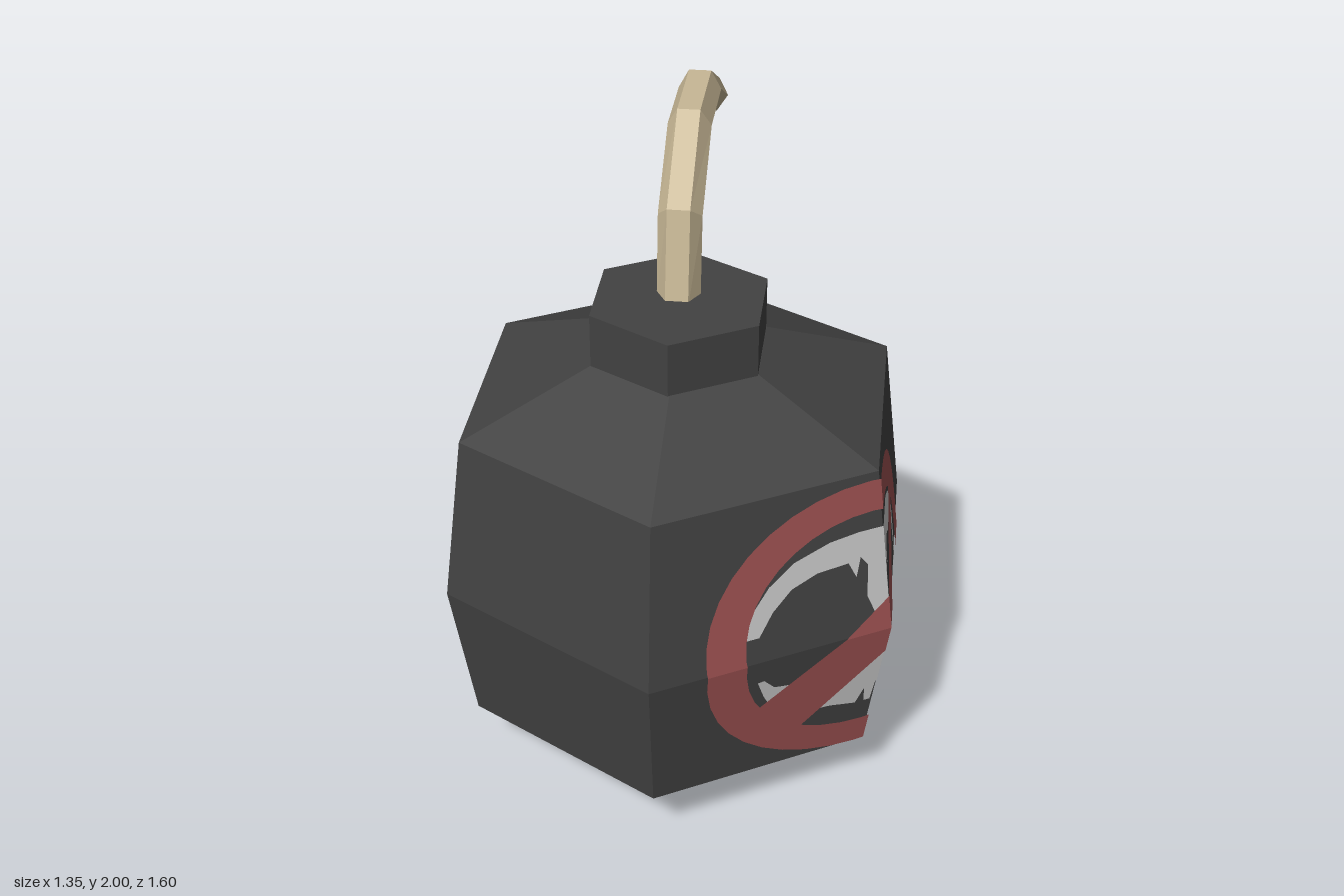
import * as THREE from 'three';

const mat = (name, color) => Object.assign(new THREE.MeshStandardMaterial({ color }), { name });
const CENTRE_Z = 0.03, MID_Y = 0.67, MID_R = 0.772, RIM_R = 0.7;

// Faceted normals on any geometry
function facet(geo) {
  const g = geo.index ? geo.toNonIndexed() : geo;
  g.computeVertexNormals();
  return g;
}

function add(parent, name, geo, material) {
  const m = new THREE.Mesh(facet(geo), material);
  m.name = name;
  parent.add(m);
  return m;
}

function fromTriangles(points) {
  const g = new THREE.BufferGeometry();
  g.setAttribute('position', new THREE.Float32BufferAttribute(points.flat(), 3));
  return g;
}

// Keep the part of a convex polygon where sign * (p[axis] - at) >= 0
function clip(poly, axis, at, sign) {
  const out = [];
  poly.forEach((a, i) => {
    const b = poly[(i + 1) % poly.length];
    const da = sign * (a[axis] - at), db = sign * (b[axis] - at);
    if (da >= 0) out.push(a);
    if (da * db < 0) {
      const t = da / (da - db);
      out.push([a[0] + (b[0] - a[0]) * t, a[1] + (b[1] - a[1]) * t]);
    }
  });
  return out;
}

// Fold a flat shape (u along the wall, v = height) around a vertical body corner
function wrap(shape, lift) {
  const flat = new THREE.ShapeGeometry(shape, 20).toNonIndexed();
  const p = flat.attributes.position;
  const s = Math.sqrt(3) / 2;
  const tris = [];
  const place = ([u, v], side) => {
    const t = Math.abs(v - MID_Y) / (v > MID_Y ? 1.2 - MID_Y : MID_Y - 0.2);
    const r = MID_R + (RIM_R - MID_R) * t + lift;
    return side > 0 ? [r * s, v, r / 2 - u] : [r * s + u * s, v, r / 2 - u / 2];
  };
  for (let i = 0; i < p.count; i += 3) {
    const tri = [0, 1, 2].map(k => [p.getX(i + k), p.getY(i + k)]);
    for (const su of [-1, 1]) for (const sv of [-1, 1]) {
      const poly = clip(clip(tri, 0, 0, su), 1, MID_Y, sv);
      for (let k = 1; k < poly.length - 1; k++) {
        tris.push(...[poly[0], poly[k], poly[k + 1]].map(q => place(q, su)));
      }
    }
  }
  return fromTriangles(tris);
}

const outline = pts => new THREE.Shape(pts.map(([x, y]) => new THREE.Vector2(x, y)));

// Prohibition ring and slash over a skull
function makeEmblem(red, white) {
  const g = new THREE.Group();
  const ring = new THREE.Shape().absellipse(-0.03, 0.69, 0.565, 0.488, 0, Math.PI * 2);
  ring.holes.push(new THREE.Path().absellipse(-0.03, 0.69, 0.44, 0.39, 0, Math.PI * 2));
  add(g, 'warningRing', wrap(ring, 0.006), red);
  add(g, 'warningSlash', wrap(outline([
    [-0.46, 0.435], [-0.29, 0.30], [0.40, 0.96], [0.33, 1.03]]), 0.006), red);
  add(g, 'skullBrow', wrap(outline([
    [-0.46, 0.757], [-0.44, 0.836], [-0.374, 0.915], [-0.29, 0.974], [-0.173, 1.01], [-0.08, 1.02],
    [0.15, 1.02], [0.23, 0.985], [0.32, 0.93], [0.17, 0.89], [0.115, 0.925], [0.06, 0.915],
    [0.05, 0.86], [0.03, 0.89], [0.01, 0.85], [0.02, 0.76], [-0.04, 0.72], [-0.068, 0.80],
    [-0.058, 0.905], [-0.08, 0.936], [-0.098, 0.873], [-0.12, 0.926], [-0.22, 0.92],
    [-0.305, 0.889], [-0.37, 0.83], [-0.42, 0.757]]), 0.003), white);
  add(g, 'skullCheekAndTeeth', wrap(outline([
    [0.30, 0.95], [0.345, 0.90], [0.366, 0.836], [0.38, 0.73], [0.357, 0.624], [0.278, 0.534],
    [0.183, 0.50], [0.11, 0.49], [0.15, 0.39], [0.107, 0.375], [0.06, 0.46], [0.05, 0.38],
    [0.02, 0.37], [0.015, 0.45], [-0.005, 0.45], [-0.01, 0.375], [-0.03, 0.375], [-0.04, 0.43],
    [-0.06, 0.375], [-0.15, 0.395], [-0.235, 0.40], [-0.15, 0.50], [0, 0.65], [0.03, 0.62],
    [0.07, 0.58], [0.14, 0.575], [0.19, 0.56], [0.26, 0.58], [0.327, 0.65], [0.343, 0.73],
    [0.323, 0.836], [0.262, 0.90]]), 0.003), white);
  add(g, 'skullJawCorner', wrap(outline([
    [-0.42, 0.587], [-0.39, 0.52], [-0.36, 0.47], [-0.30, 0.54], [-0.36, 0.55], [-0.40, 0.59]]), 0.003), white);
  return g;
}

// Six-sided cord; each station gives the outer and inner edge as [z, y]
function makeFuse() {
  const x0 = -0.01;
  const stations = [
    [[0.065, 1.51], [-0.045, 1.51]],
    [[0.012, 1.80], [-0.07, 1.73]],
    [[-0.24, 2.0], [-0.285, 1.887]],
    [[-0.535, 2.0], [-0.53, 1.887]],
    [[-0.80, 1.865], [-0.705, 1.795]],
  ];
  const rings = stations.map(([o, i]) => {
    const c = [(o[0] + i[0]) / 2, (o[1] + i[1]) / 2];
    return [[0.034, o], [0.065, c], [0.034, i], [-0.034, i], [-0.065, c], [-0.034, o]]
      .map(([dx, q]) => [x0 + dx, q[1], q[0]]);
  });
  const tris = [];
  for (let s = 0; s < rings.length - 1; s++) {
    const a = rings[s], b = rings[s + 1];
    for (let k = 0; k < 6; k++) {
      const n = (k + 1) % 6;
      tris.push(a[k], a[n], b[n], a[k], b[n], b[k]);
    }
  }
  const end = rings[rings.length - 1];
  for (let k = 1; k < 5; k++) tris.push(end[0], end[k], end[k + 1]);
  return fromTriangles(tris);
}

export function createModel() {
  const model = new THREE.Group();
  model.name = 'bomb';
  const iron = mat('darkIron', 0x424242);
  const cord = mat('tanCord', 0xc8b896);
  const red = mat('warningRed', 0x9e5252);
  const white = mat('boneWhite', 0xcacaca);

  // Hexagonal body with pointed base
  const profile = [[0, 0], [RIM_R, 0.2], [MID_R, MID_Y], [RIM_R, 1.2], [0.28, 1.365], [0, 1.365]]
    .map(([r, y]) => new THREE.Vector2(r, y));
  add(model, 'body', new THREE.LatheGeometry(profile, 6), iron).position.z = CENTRE_Z;

  // Neck collar
  add(model, 'neck', new THREE.CylinderGeometry(0.283, 0.283, 0.17, 6), iron)
    .position.set(-0.004, 1.445, CENTRE_Z + 0.003);

  add(model, 'fuse', makeFuse(), cord);

  // Emblems on two opposite corners
  for (const [name, angle] of [['frontEmblem', 0], ['backEmblem', Math.PI]]) {
    const e = makeEmblem(red, white);
    e.name = name;
    e.position.z = CENTRE_Z;
    e.rotation.y = angle;
    model.add(e);
  }
  return model;
}
